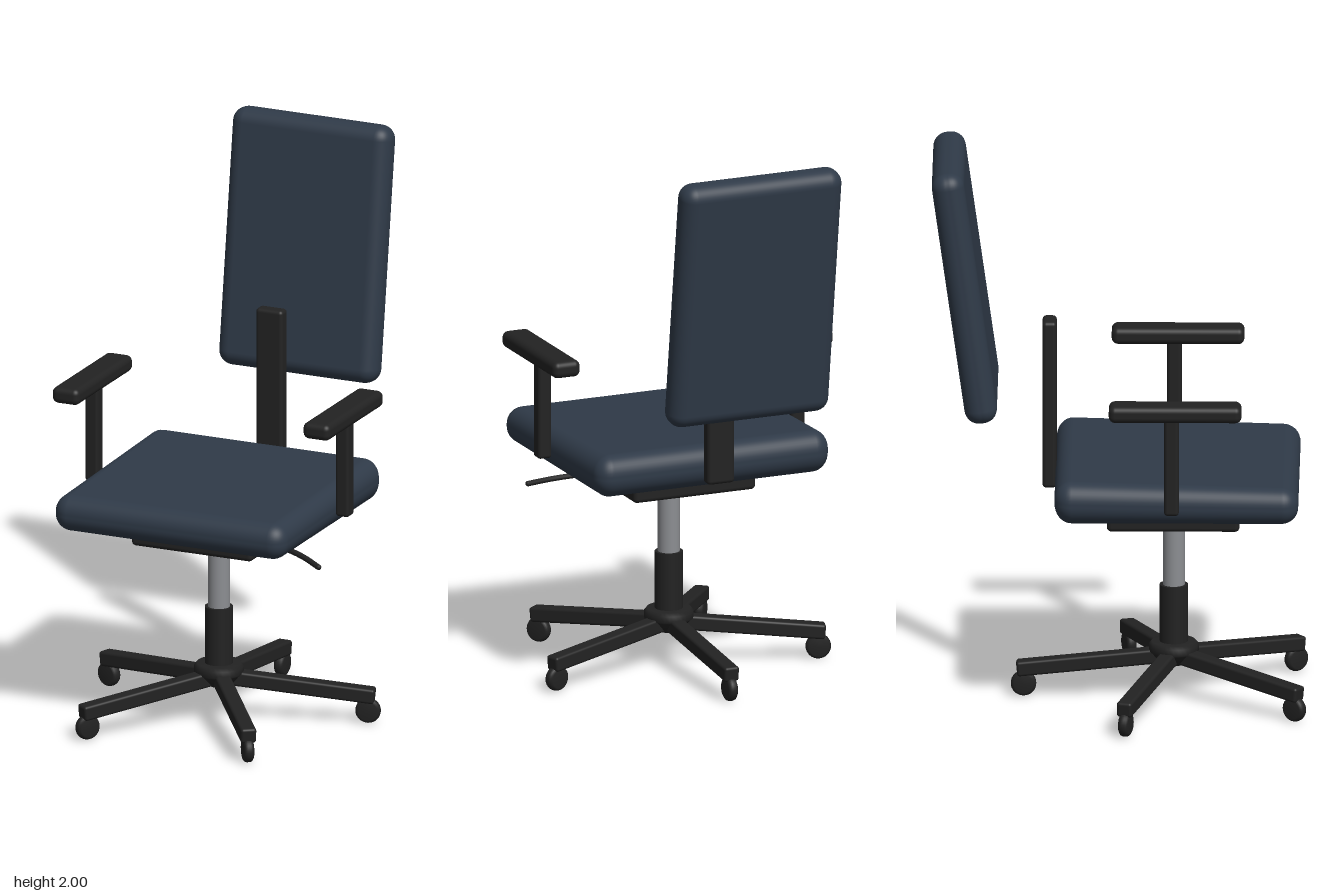
import * as THREE from 'three';
import { RoundedBoxGeometry } from 'three/addons/geometries/RoundedBoxGeometry.js';

export function createModel() {
  const root = new THREE.Group();
  root.name = 'officeChair';

  const material = (name, color) => {
    const m = new THREE.MeshStandardMaterial({ color });
    m.name = name;
    return m;
  };
  const fabric = material('navy fabric', 0x2f3a48);
  const plastic = material('black plastic', 0x222222);
  const steel = material('grey steel', 0x8c8e92);

  const add = (name, geometry, mat, x = 0, y = 0, z = 0, parent = root) => {
    const mesh = new THREE.Mesh(geometry, mat);
    mesh.name = name;
    mesh.position.set(x, y, z);
    parent.add(mesh);
    return mesh;
  };
  const roundBox = (w, h, d, r) => new RoundedBoxGeometry(w, h, d, 5, r);
  const lathe = (points) =>
    new THREE.LatheGeometry(points.map(([r, y]) => new THREE.Vector2(r, y)), 32);

  const axisZ = 0.2; // the column stands forward of the origin

  // Seat cushion: flat underside, top rising gently towards the back
  const seat = roundBox(0.9, 0.13, 0.86, 0.06);
  const p = seat.attributes.position;
  for (let i = 0; i < p.count; i++) {
    const back = 0.5 - p.getZ(i) / 0.86;
    p.setY(i, (p.getY(i) + 0.065) * (1 + 0.19 * back));
  }
  // Tip the normals to follow the sloped top
  const n = seat.attributes.normal;
  const v = new THREE.Vector3();
  for (let i = 0; i < n.count; i++) {
    v.fromBufferAttribute(n, i);
    if (v.y > 0) v.z += 0.029 * v.y;
    v.normalize();
    n.setXYZ(i, v.x, v.y, v.z);
  }
  add('seat', seat, fabric, 0, 0.755, 0.213);

  // Reclined backrest and its upright
  const backrest = add('backrest', roundBox(0.615, 0.926, 0.115, 0.052), fabric, 0, 1.54, -0.536);
  backrest.rotation.x = -0.14;
  add('backSupport', roundBox(0.105, 0.61, 0.05, 0.014), plastic, 0, 1.085, -0.238);

  // Armrests
  for (const side of [-1, 1]) {
    const arm = new THREE.Group();
    arm.name = side > 0 ? 'leftArmrest' : 'rightArmrest';
    arm.position.x = side * 0.488;
    root.add(arm);
    add('armPad', roundBox(0.105, 0.06, 0.468, 0.022), plastic, 0, 1.192, 0.21, arm);
    add('armPost', roundBox(0.052, 0.37, 0.052, 0.012), plastic, 0, 1.0, 0.197, arm);
  }

  // Tilt mechanism under the seat, with its bent lever
  add('mechanism', roundBox(0.47, 0.068, 0.468, 0.016), plastic, 0, 0.707, axisZ);
  const leverPath = new THREE.CatmullRomCurve3([
    new THREE.Vector3(0.2, 0.704, 0.285),
    new THREE.Vector3(0.3, 0.7, 0.305),
    new THREE.Vector3(0.39, 0.688, 0.335),
    new THREE.Vector3(0.467, 0.67, 0.37),
  ]);
  add('lever', new THREE.TubeGeometry(leverPath, 20, 0.01, 10), plastic);
  add('leverTip', new THREE.SphereGeometry(0.01, 10, 8), plastic, 0.467, 0.67, 0.37);

  // Gas lift
  add('piston', new THREE.CylinderGeometry(0.039, 0.039, 0.3, 32), steel, 0, 0.54, axisZ);
  add('columnSleeve', new THREE.CylinderGeometry(0.05, 0.05, 0.23, 32), plastic, 0, 0.3, axisZ);

  // Hub, tapering below the legs
  add('hub', lathe([
    [0, 0.12], [0.03, 0.12], [0.055, 0.135], [0.08, 0.165], [0.088, 0.172],
    [0.088, 0.195], [0.078, 0.207], [0, 0.207],
  ]), plastic, 0, 0, axisZ);

  // Five sloping legs with castors
  const wheel = lathe([
    [0, -0.018], [0.034, -0.018], [0.042, -0.013], [0.045, -0.005],
    [0.045, 0.005], [0.042, 0.013], [0.034, 0.018], [0, 0.018],
  ]);
  wheel.rotateZ(Math.PI / 2);
  const legGeometry = roundBox(0.056, 0.054, 0.535, 0.01);
  for (let i = 0; i < 5; i++) {
    const spoke = new THREE.Group();
    spoke.name = 'baseLeg' + (i + 1);
    spoke.position.z = axisZ;
    spoke.rotation.y = Math.PI + (i * Math.PI * 2) / 5;
    root.add(spoke);
    const leg = add('leg', legGeometry, plastic, 0, 0.131, 0.288, spoke);
    leg.rotation.x = 0.1;
    add('castor', wheel, plastic, 0, 0.049, 0.53, spoke);
  }

  return root;
}
